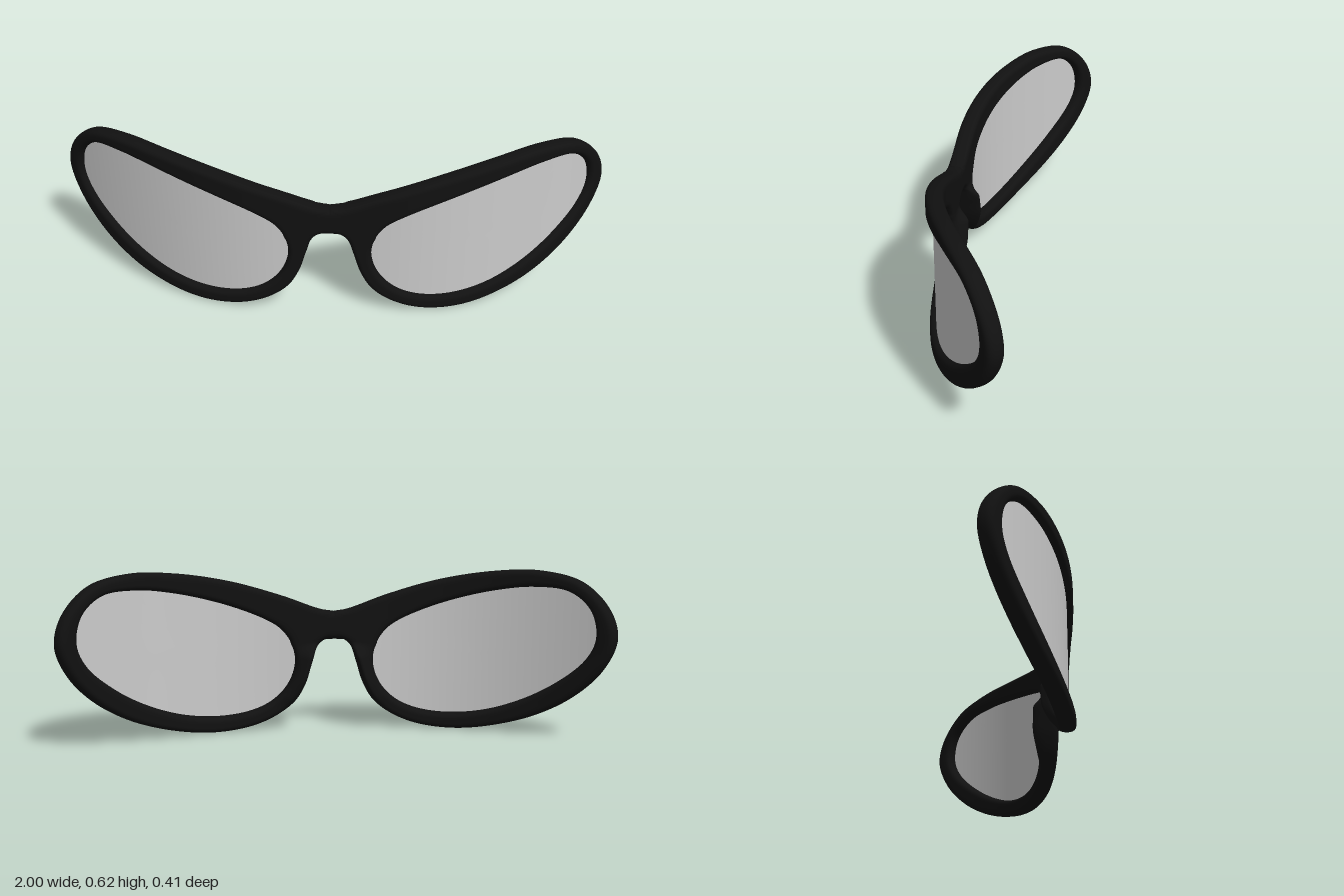
import * as THREE from 'three';
import { mergeGeometries, mergeVertices } from 'three/addons/utils/BufferGeometryUtils.js';

const v = ([x, y]) => new THREE.Vector3(x, y, 0);

// Outline of one half of the frame, from the bridge top round to the bridge underside
const OUTER = [
  [0, 0.455], [0.05, 0.463], [0.2, 0.517], [0.4, 0.577], [0.6, 0.614], [0.75, 0.622],
  [0.88, 0.59], [0.963, 0.5], [0.992, 0.39], [0.955, 0.27], [0.87, 0.16], [0.75, 0.075],
  [0.6, 0.02], [0.46, 0], [0.32, 0.015], [0.22, 0.055], [0.15, 0.11], [0.11, 0.18],
  [0.085, 0.26], [0.062, 0.325], [0.03, 0.35], [0, 0.35],
].map(v);

// Lens opening, one point facing each outline point
const INNER = [
  [0.2, 0.385], [0.225, 0.405], [0.28, 0.435], [0.42, 0.49], [0.6, 0.54], [0.74, 0.561],
  [0.85, 0.55], [0.915, 0.49], [0.935, 0.39], [0.905, 0.305], [0.82, 0.212], [0.71, 0.135],
  [0.58, 0.08], [0.45, 0.06], [0.335, 0.07], [0.255, 0.1], [0.2, 0.145], [0.165, 0.2],
  [0.15, 0.26], [0.155, 0.305], [0.165, 0.33], [0.17, 0.345],
].map(v);

const STEPS = 12;
const SEGS = OUTER.length;
const N = SEGS * STEPS;
const ACROSS = 16;

// Stations round the ring; the last segment is the straight join on the centre line
const outerCurve = new THREE.CatmullRomCurve3(OUTER);
const innerCurve = new THREE.CatmullRomCurve3(INNER, true);
const joinStart = (SEGS - 1) * STEPS;
const outer = [], inner = [];
for (let i = 0; i < N; i++) {
  outer.push(i <= joinStart
    ? outerCurve.getPoint(i / joinStart)
    : OUTER[SEGS - 1].clone().lerp(OUTER[0], (i - joinStart) / STEPS));
  inner.push(innerCurve.getPoint(i / N));
}
const rimEdges = [...outer.slice(0, joinStart + 1), ...inner];
const noseEdge = outer.slice(16 * STEPS, 19 * STEPS + 1);

const distanceTo = (p, points) => Math.sqrt(points.reduce((m, q) => Math.min(m, p.distanceToSquared(q)), Infinity));

// Wrap a flat point round the face and move it along the surface normal
function bend(p, offset) {
  const s = Math.max(0, p.x - 0.18);
  const slope = 1.1 * s;
  const len = Math.hypot(1, slope);
  return [p.x + offset * slope / len, p.y, 0.17 - 0.55 * s * s + offset / len];
}

// Closed strip of quads: i runs round the loop, j across it
function loopSurface(pointAt, rows, side, flip) {
  const pos = [], idx = [];
  for (let i = 0; i < N; i++) {
    for (let j = 0; j <= rows; j++) {
      const [x, y, z] = pointAt(i, j);
      pos.push(x * side, y, z);
    }
  }
  for (let i = 0; i < N; i++) {
    for (let j = 0; j < rows; j++) {
      const a = i * (rows + 1) + j, b = ((i + 1) % N) * (rows + 1) + j;
      if (flip !== (side < 0)) idx.push(a, b + 1, b, a, a + 1, b + 1);
      else idx.push(a, b, b + 1, a, b + 1, a + 1);
    }
  }
  const g = new THREE.BufferGeometry();
  g.setAttribute('position', new THREE.Float32BufferAttribute(pos, 3));
  g.setIndex(idx);
  return g;
}

// Rounded rim: thickness falls off at the edges, the back swells beside the nose
function framePoint(i, j, face) {
  const u = (1 - Math.cos(Math.PI * j / ACROSS)) / 2;
  const p = inner[i].clone().lerp(outer[i], u);
  const d = Math.min(1, distanceTo(p, rimEdges) / 0.022);
  const round = Math.pow(1 - Math.pow(1 - d, 2.5), 1 / 2.5);
  let half = 0.031;
  if (face < 0) {
    const window = THREE.MathUtils.smoothstep(p.y, 0.05, 0.22) * (1 - THREE.MathUtils.smoothstep(p.y, 0.28, 0.34));
    half += 0.045 * window * Math.exp(-Math.pow(distanceTo(p, noseEdge) / 0.045, 2));
  }
  return bend(p, face * half * round);
}

export function createModel() {
  const group = new THREE.Group();
  const frameMaterial = new THREE.MeshStandardMaterial({ color: 0x111111 });
  const lensMaterial = new THREE.MeshStandardMaterial({ color: 0xcccccc, side: THREE.DoubleSide });

  // Frame: front and back skins of both halves, welded into one smooth body
  const skins = [];
  for (const side of [1, -1]) {
    for (const face of [1, -1]) {
      skins.push(loopSurface((i, j) => framePoint(i, j, face), ACROSS, side, face < 0));
    }
  }
  const frameGeometry = mergeVertices(mergeGeometries(skins), 1e-5);
  frameGeometry.computeVertexNormals();
  const frame = new THREE.Mesh(frameGeometry, frameMaterial);
  frame.name = 'frame';
  group.add(frame);

  // Lenses: curved sheets tucked slightly into the rim
  const centre = v([0.54, 0.3]);
  const rings = 16;
  for (const side of [1, -1]) {
    const geometry = mergeVertices(loopSurface(
      (i, j) => bend(centre.clone().lerp(inner[i], 1.02 * j / rings), 0.008), rings, side, false), 1e-5);
    geometry.computeVertexNormals();
    const lens = new THREE.Mesh(geometry, lensMaterial);
    lens.name = side > 0 ? 'leftLens' : 'rightLens';
    group.add(lens);
  }
  return group;
}
